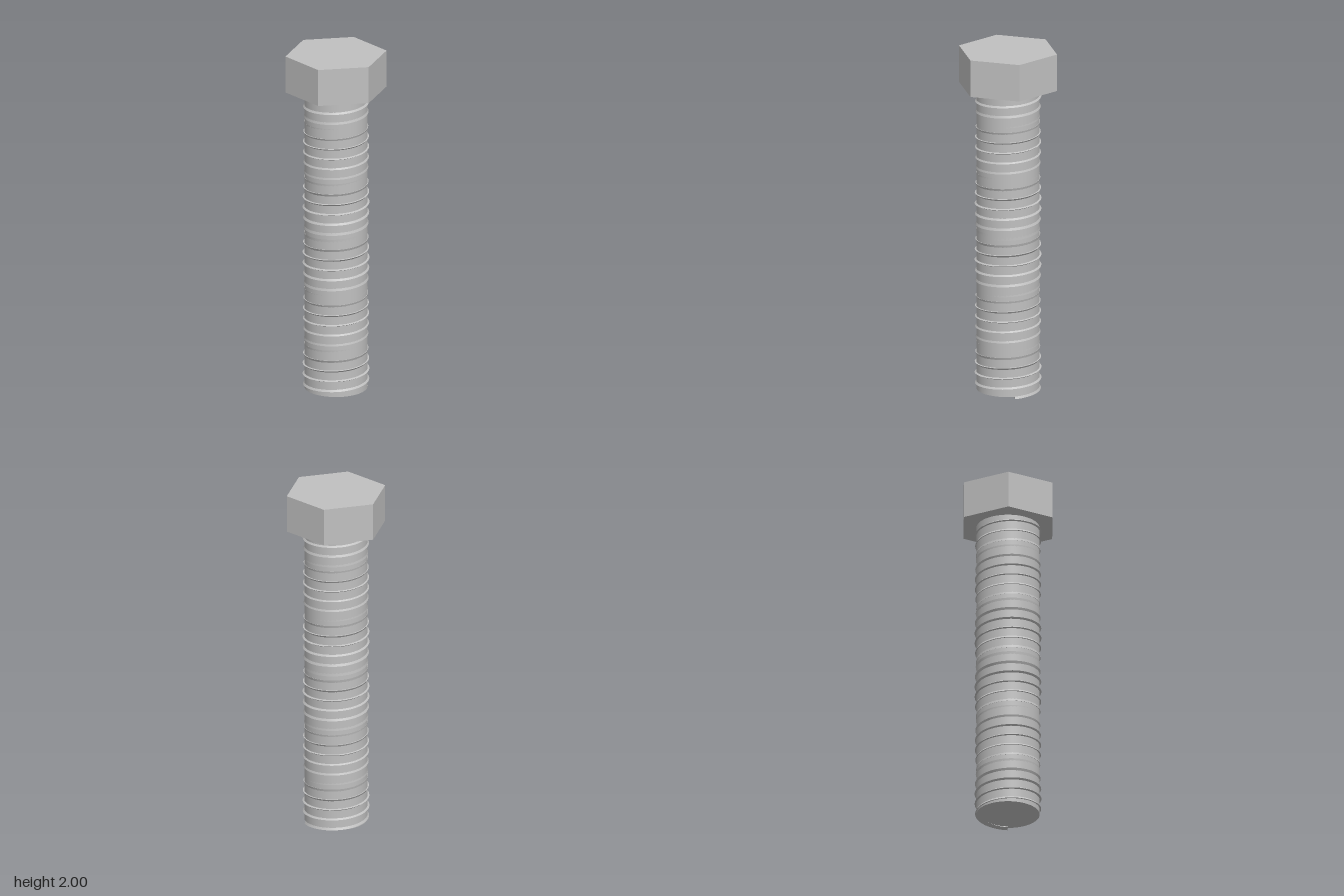
import * as THREE from 'three';
import { toCreasedNormals } from 'three/addons/utils/BufferGeometryUtils.js';

const SHAFT_RADIUS = 0.178, SHAFT_BOTTOM = 0.01, HEAD_BOTTOM = 1.785, TOP = 2;

// Helical ridge: a small triangular section that slowly rolls as it climbs
function threadGeometry() {
  const turns = 32, steps = 48, pitch = 0.0553, pathRadius = 0.168;
  const tips = [0.02, 0.02, 0.018];
  const positions = [], indices = [];
  const count = turns * steps;
  for (let i = 0; i <= count; i++) {
    const angle = (i / steps) * Math.PI * 2;
    const y = SHAFT_BOTTOM + (i / steps) * pitch;
    const roll = (y - 0.11) * Math.PI * 2;
    for (let k = 0; k < 3; k++) {
      const a = roll + (k * Math.PI * 2) / 3;
      const r = pathRadius + tips[k] * Math.cos(a);
      positions.push(r * Math.cos(angle), y + tips[k] * Math.sin(a), -r * Math.sin(angle));
    }
  }
  for (let i = 0; i < count; i++) {
    for (let k = 0; k < 3; k++) {
      const a = i * 3 + k, b = i * 3 + (k + 1) % 3;
      indices.push(a, a + 3, b + 3, a, b + 3, b);
    }
  }
  // End caps
  const e = count * 3;
  indices.push(0, 1, 2, e, e + 2, e + 1);
  const geometry = new THREE.BufferGeometry();
  geometry.setAttribute('position', new THREE.Float32BufferAttribute(positions, 3));
  geometry.setIndex(indices);
  return toCreasedNormals(geometry, Math.PI / 6);
}

export function createModel() {
  const steel = new THREE.MeshStandardMaterial({ color: 0xc0c0c0 });
  steel.name = 'steel grey';
  const group = new THREE.Group();
  group.name = 'hexBolt';

  const add = (name, geometry, y = 0) => {
    const mesh = new THREE.Mesh(geometry, steel);
    mesh.name = name;
    mesh.position.y = y;
    group.add(mesh);
  };

  // Six-sided head with corners on the x axis
  const headHeight = TOP - HEAD_BOTTOM;
  const head = new THREE.CylinderGeometry(0.288, 0.288, headHeight, 6).toNonIndexed();
  head.rotateY(Math.PI / 6);
  head.computeVertexNormals();
  add('head', head, HEAD_BOTTOM + headHeight / 2);

  // Smooth round shaft
  const shaftHeight = HEAD_BOTTOM - SHAFT_BOTTOM;
  add('shaft', new THREE.CylinderGeometry(SHAFT_RADIUS, SHAFT_RADIUS, shaftHeight, 64),
    SHAFT_BOTTOM + shaftHeight / 2);

  add('thread', threadGeometry());
  return group;
}
